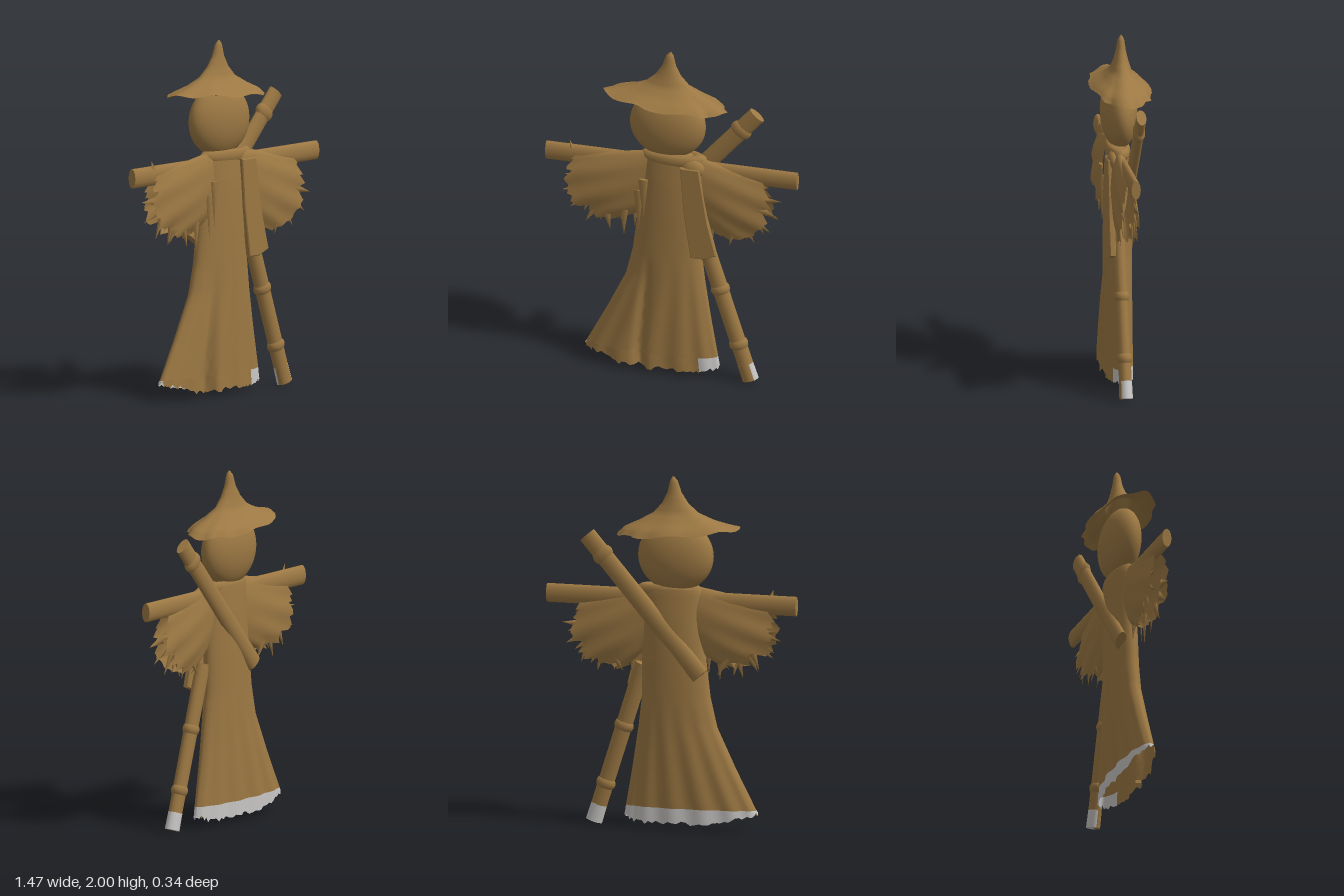
import * as THREE from 'three';
import { mergeVertices } from 'three/addons/utils/BufferGeometryUtils.js';

const straw = new THREE.MeshStandardMaterial({ color: 0x9c7843, side: THREE.DoubleSide });
straw.name = 'straw brown';
const pale = new THREE.MeshStandardMaterial({ color: 0xc8c6c4, side: THREE.DoubleSide });
pale.name = 'pale grey';

const TAU = Math.PI * 2;
const lerp = THREE.MathUtils.lerp;
// repeatable ragged noise, -1 to 1
const noise = (i) => {
  const s = Math.sin(i * 127.1 + 11.7) * 43758.5453;
  return (s - Math.floor(s)) * 2 - 1;
};

function add(parent, name, geometry, material = straw) {
  const mesh = new THREE.Mesh(geometry, material);
  mesh.name = name;
  parent.add(mesh);
  return mesh;
}

// Surface from cross-sections: fn(u, v) gives a point for each grid corner
function patch(fn, nu, nv) {
  const pos = [], index = [];
  for (let j = 0; j <= nv; j++)
    for (let i = 0; i <= nu; i++) pos.push(...fn(i / nu, j / nv));
  for (let j = 0; j < nv; j++)
    for (let i = 0; i < nu; i++) {
      const a = j * (nu + 1) + i, c = a + nu + 1;
      index.push(a, a + 1, c, a + 1, c + 1, c);
    }
  const g = new THREE.BufferGeometry();
  g.setAttribute('position', new THREE.Float32BufferAttribute(pos, 3));
  g.setIndex(index);
  const merged = mergeVertices(g, 1e-5);
  merged.computeVertexNormals();
  return merged;
}

// Interpolate a row of numbers out of a table
function row(table, v) {
  const k = Math.min(v * (table.length - 1), table.length - 1.0001);
  const i = Math.floor(k);
  return table[i].map((n, c) => lerp(n, table[i + 1][c], k - i));
}

// Flattened wooden pole between two points at depth z
function pole(parent, name, [x0, y0], [x1, y1], z, r, depth, knots = []) {
  const g = new THREE.Group();
  g.name = name;
  const len = Math.hypot(x1 - x0, y1 - y0);
  g.position.set((x0 + x1) / 2, (y0 + y1) / 2, z);
  g.rotation.z = Math.atan2(x0 - x1, y1 - y0);
  g.scale.z = depth / r;
  add(g, 'shaft', new THREE.CylinderGeometry(r, r * 1.04, len, 14));
  for (const t of knots) {
    const knot = add(g, 'knot', new THREE.SphereGeometry(r * 1.25, 12, 8));
    knot.position.y = (t - 0.5) * len;
    knot.scale.y = 0.8;
  }
  parent.add(g);
  return g;
}

// Robe rows: y, left edge, right edge, half depth
const robeRows = [
  [1.39, -0.08, 0.06, 0.05], [1.36, -0.18, 0.17, 0.065], [1.2, -0.18, 0.16, 0.075],
  [1.0, -0.2, 0.17, 0.078], [0.75, -0.23, 0.17, 0.078], [0.58, -0.27, 0.19, 0.078],
  [0.35, -0.38, 0.225, 0.08], [0.12, -0.5, 0.265, 0.08]];

function robePoint(a, [y, x0, x1, depth], fall) {
  const x = lerp(x0, x1, (1 + Math.cos(a)) / 2);
  // one deep front pleat and shallow folds, growing towards the hem
  const pleat = Math.sin(a) > 0 ? Math.exp(-(((x + 0.12 + fall * 0.06) / 0.025) ** 2)) : 0;
  const fold = 1 + fall * 0.09 * Math.sin(a * 13) - fall * 0.7 * pleat;
  return [x, y, 0.02 + depth * Math.sin(a) * fold];
}

function hemPoint(a, v) {
  const p = robePoint(a, [0.12, lerp(-0.5, -0.51, v), lerp(0.265, 0.275, v), 0.08], 1);
  const slope = p[0] < -0.27 ? (-0.27 - p[0]) * 0.28 : Math.max(0, p[0] - 0.2) * 0.4;
  const rag = noise(Math.round(a * 40)) * 0.014;
  p[1] = lerp(0.12, Math.min(0.115, 0.035 + slope + rag), v);
  return p;
}

function buildRobe(root) {
  const robe = new THREE.Group();
  robe.name = 'robe';
  add(robe, 'gown', patch((u, v) => {
    const r = row(robeRows, v);
    return robePoint(u * TAU, r, Math.max(0, Math.min(1, (0.75 - r[0]) / 0.6)));
  }, 96, 28));
  const a0 = Math.PI * 0.24, a1 = Math.PI * 0.95;
  add(robe, 'frontHem', patch((u, v) => hemPoint(lerp(a0, a1, u), v), 40, 2));
  add(robe, 'backHem', patch((u, v) => hemPoint(lerp(a1, a0 + TAU, u), v), 60, 2), pale);
  root.add(robe);
}

// Wide ragged sleeve, flaring from the shoulder to an open cuff
function buildSleeve(root, side) {
  const top = side < 0 ? [0.57, 1.3] : [0.54, 1.28];
  const low = side < 0 ? [0.29, 0.93] : [0.27, 0.9];
  add(root, side > 0 ? 'leftSleeve' : 'rightSleeve', patch((u, v) => {
    const a = side * u * TAU;
    const k = (1 + Math.cos(a)) / 2;
    const bulge = 0.15 * Math.sin(a) ** 2 * v;
    const rag = v === 1 ? 0.035 * noise(Math.round(u * 60) % 60 + side * 70) : 0;
    const x = lerp(lerp(0.16, 0.13, k), lerp(low[0], top[0], k), v) + 0.83 * (bulge + rag);
    const y = lerp(lerp(1.0, 1.38, k), lerp(low[1], top[1], k), v) - 0.55 * (bulge + rag);
    const puff = 0.05 + 0.012 * Math.sin(v * Math.PI) + 0.006 * v * Math.sin(a * 9);
    return [side * x, y, 0.035 + Math.sin(a) * puff];
  }, 60, 8));
  // loose tatters round the cuff
  for (let i = 0; i < 9; i++) {
    const ang = lerp(-1.75, 0.1, i / 8);
    const rag = add(root, 'tatter', new THREE.ConeGeometry(0.028, 0.13, 4));
    rag.scale.z = 0.25;
    rag.position.set(side * (0.35 + 0.22 * Math.cos(ang)), 1.12 + 0.19 * Math.sin(ang),
      i % 2 ? 0.075 : 0.0);
    rag.rotation.z = side * (ang - Math.PI / 2 - 0.25 + 0.3 * noise(i + 5));
  }
}

function buildHat(root) {
  // half width, half depth, height
  const rows = [[0.004, 0.004, 2.0], [0.022, 0.018, 1.975], [0.04, 0.028, 1.91],
    [0.075, 0.042, 1.85], [0.13, 0.06, 1.795], [0.22, 0.1, 1.75],
    [0.31, 0.145, 1.715], [0.35, 0.168, 1.69]];
  const surface = (drop) => (u, v) => {
    const a = u * TAU;
    const [rx, rz, y] = row(rows, v);
    const brim = v ** 4;
    const wave = 1 + 0.04 * brim * noise(Math.round(u * 28) % 28);
    return [lerp(-0.018, -0.045, v) + rx * wave * Math.cos(a),
      y - drop * (1 - v ** 8) + brim * (-0.028 * Math.cos(a) + 0.012 * Math.sin(a) + 0.008 * Math.sin(a * 7)),
      rz * wave * Math.sin(a)];
  };
  add(root, 'hat', patch(surface(0), 56, 21));
  add(root, 'hatLining', patch(surface(0.015), 56, 21));
}

function buildScarf(root) {
  const collar = add(root, 'scarfCollar', new THREE.TorusGeometry(0.14, 0.045, 10, 36));
  collar.rotation.x = Math.PI / 2;
  collar.scale.set(1.05, 0.36, 0.8);
  collar.position.set(0.01, 1.35, 0.025);
  const knot = add(root, 'scarfKnot', new THREE.SphereGeometry(0.065, 14, 10));
  knot.scale.set(1.1, 0.9, 0.55);
  knot.position.set(0.13, 1.31, 0.065);
  // hanging tail
  const tail = new THREE.Shape([[0.07, 1.32], [0.09, 1.05], [0.13, 0.77], [0.2, 0.77], [0.27, 0.8],
    [0.22, 1.0], [0.17, 1.32]].map(([x, y]) => new THREE.Vector2(x, y)));
  const g = new THREE.ExtrudeGeometry(tail, { depth: 0.025, bevelEnabled: true,
    bevelSize: 0.005, bevelThickness: 0.005, bevelSegments: 1 });
  add(root, 'scarfTail', g).position.z = 0.075;
}

export function createModel() {
  const root = new THREE.Group();
  root.name = 'scarecrow';

  const head = add(root, 'head', new THREE.SphereGeometry(1, 36, 24));
  head.scale.set(0.22, 0.205, 0.102);
  head.position.set(-0.03, 1.55, 0.012);
  buildHat(root);
  buildRobe(root);
  buildScarf(root);
  for (const side of [-1, 1]) buildSleeve(root, side);

  // frame: crossbar, slung back pole and walking staff
  pole(root, 'crossbar', [-0.735, 1.29], [0.73, 1.3], 0.025, 0.054, 0.026);
  pole(root, 'backPole', [-0.19, 0.88], [0.475, 1.65], -0.042, 0.052, 0.028, [0.86]);
  pole(root, 'staff', [0.17, 0.92], [0.43, 0.11], 0.042, 0.046, 0.036, [0.44, 0.85]);

  // staff foot, brown in front and pale behind
  for (const [name, start, length, material] of [['staffFootFront', -1.5, 2.2, straw],
    ['staffFootBack', 0.7, TAU - 2.2, pale]]) {
    const foot = add(root, name,
      new THREE.CylinderGeometry(0.046, 0.048, 0.1, 14, 1, false, start, length), material);
    foot.position.set(0.445, 0.063, 0.042);
    foot.rotation.z = 0.31;
    foot.scale.z = 0.8;
  }

  // frayed strips beside the chest and a twig on the crossbar
  for (const [x, y, h, z] of [[-0.15, 1.09, 0.26, 0.095], [-0.18, 1.02, 0.25, 0.085],
    [-0.27, 0.93, 0.18, 0.07], [0.24, 0.95, 0.2, 0.05], [-0.22, 0.98, 0.22, 0.02]]) {
    const strip = add(root, 'frayedStrip', new THREE.ConeGeometry(0.03, h, 5));
    strip.rotation.z = Math.PI;
    strip.scale.z = 0.4;
    strip.position.set(x, y, z);
  }
  const twig = add(root, 'twig', new THREE.ConeGeometry(0.03, 0.1, 4));
  twig.position.set(-0.58, 1.33, 0.04);
  twig.rotation.z = 0.3;
  twig.scale.z = 0.4;
  return root;
}
